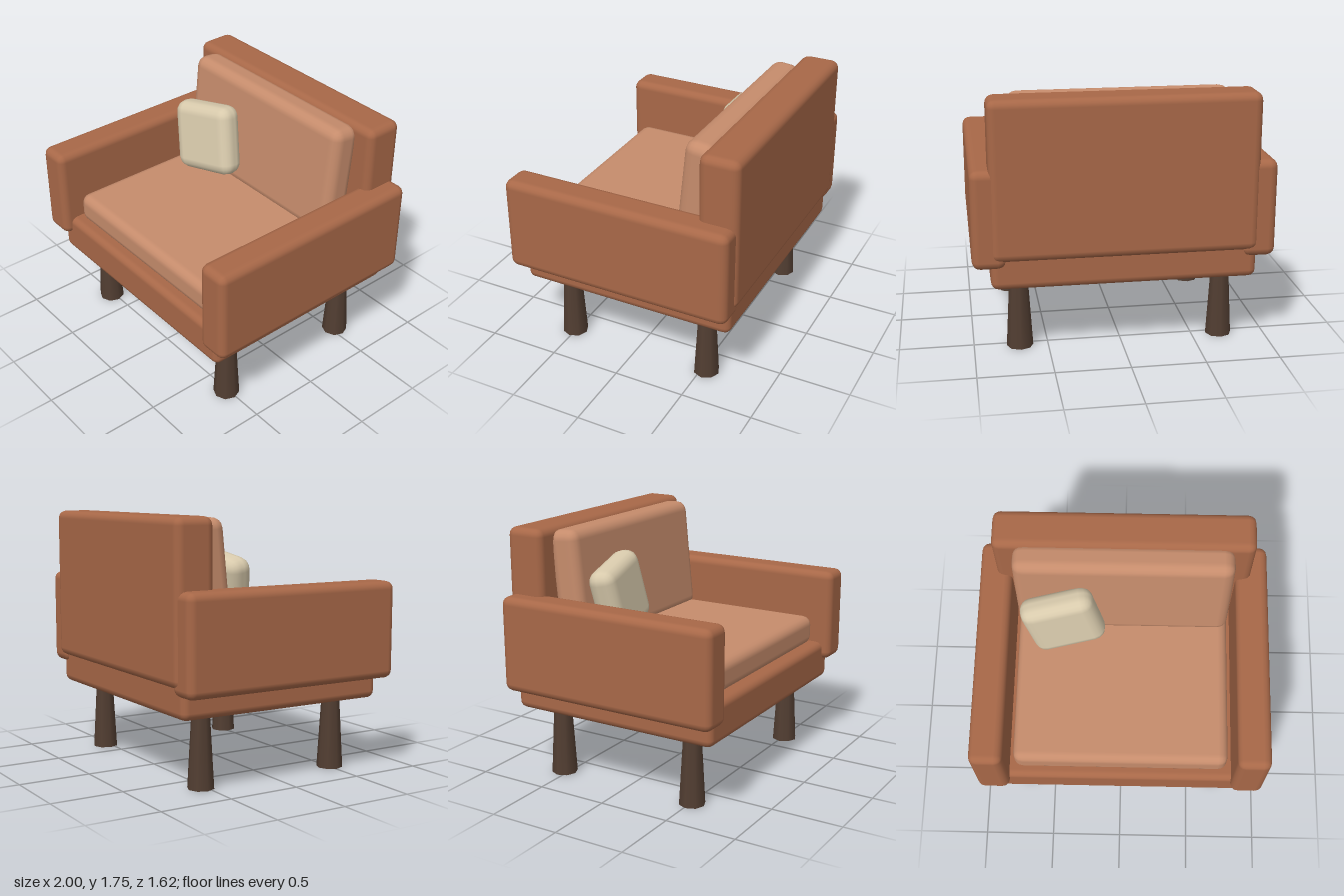
import * as THREE from 'three';
import { RoundedBoxGeometry } from 'three/addons/geometries/RoundedBoxGeometry.js';

const material = (color) => new THREE.MeshStandardMaterial({ color });

// Box with softly bevelled edges, given by its [min, max] range on each axis
function paddedBox(name, [x0, x1], [y0, y1], [z0, z1], radius, mat) {
  const geometry = new RoundedBoxGeometry(x1 - x0, y1 - y0, z1 - z0, 2, radius);
  const mesh = new THREE.Mesh(geometry, mat);
  mesh.name = name;
  mesh.position.set((x0 + x1) / 2, (y0 + y1) / 2, (z0 + z1) / 2);
  return mesh;
}

export function createModel() {
  const group = new THREE.Group();
  group.name = 'armchair';
  const upholstery = material(0xa86848);
  const cushionFabric = material(0xc68c6c);
  const pillowFabric = material(0xd8caac);
  const wood = material(0x523e32);

  // Frame: base and backrest
  group.add(paddedBox('base', [-0.88, 0.88], [0.49, 0.77], [-0.775, 0.755], 0.05, upholstery));
  group.add(paddedBox('backrest', [-0.88, 0.88], [0.69, 1.75], [-0.815, -0.54], 0.055, upholstery));

  // Armrests
  group.add(paddedBox('leftArmrest', [0.775, 1], [0.64, 1.3], [-0.8, 0.81], 0.055, upholstery));
  group.add(paddedBox('rightArmrest', [-1, -0.775], [0.64, 1.3], [-0.8, 0.81], 0.055, upholstery));

  // Seat cushion, and back cushion leaning against the backrest
  group.add(paddedBox('seatCushion', [-0.74, 0.74], [0.77, 0.98], [-0.56, 0.695], 0.065, cushionFabric));
  const backCushion = paddedBox('backCushion', [-0.74, 0.74], [0.93, 1.735], [-0.555, -0.335], 0.075, cushionFabric);
  backCushion.rotation.x = -0.1;
  group.add(backCushion);

  // Throw pillow, rolled, turned and leaning back
  const pillow = paddedBox('throwPillow', [-0.665, -0.155], [1.005, 1.515], [-0.33, -0.135], 0.085, pillowFabric);
  pillow.rotation.set(-0.15, 0.14, 0.2, 'YXZ');
  group.add(pillow);

  // Legs, flaring towards the floor
  const legGeometry = new THREE.CylinderGeometry(0.06, 0.09, 0.52, 8);
  for (const [end, z] of [['front', 0.51], ['back', -0.535]]) {
    for (const [side, x] of [['Left', 0.69], ['Right', -0.69]]) {
      const leg = new THREE.Mesh(legGeometry, wood);
      leg.name = `${end}${side}Leg`;
      leg.position.set(x, 0.26, z);
      group.add(leg);
    }
  }
  return group;
}
